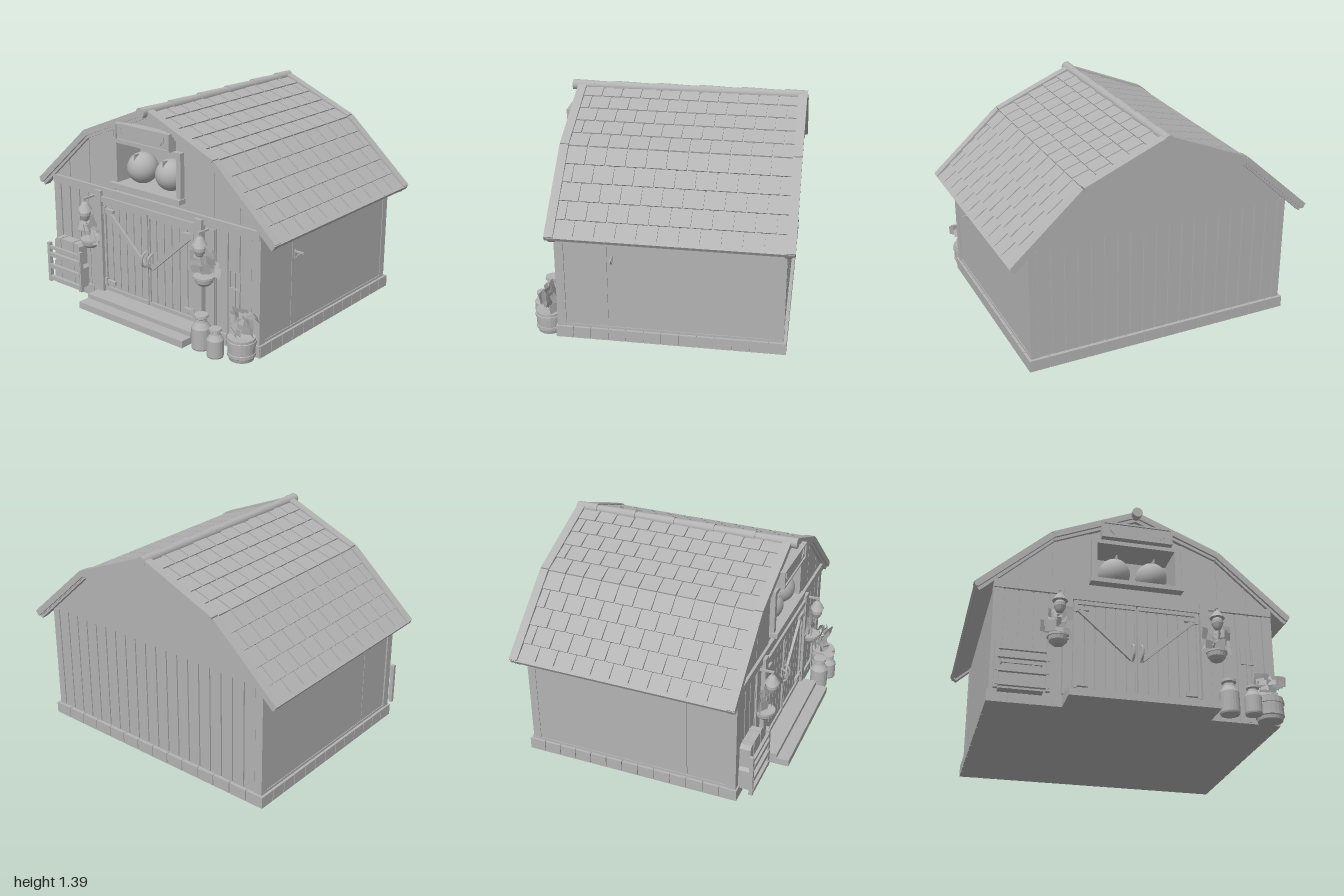
import * as THREE from 'three';

const grey = new THREE.MeshStandardMaterial({ color: 0xb3b3b3 });
grey.name = 'clay grey';
grey.side = THREE.DoubleSide;

function add(parent, name, geo, x = 0, y = 0, z = 0) {
  const m = new THREE.Mesh(geo, grey);
  m.name = name;
  m.position.set(x, y, z);
  parent.add(m);
  return m;
}
// box given by its limits
const box = (p, name, x0, x1, y0, y1, z0, z1) =>
  add(p, name, new THREE.BoxGeometry(Math.abs(x1 - x0), y1 - y0, z1 - z0), (x0 + x1) / 2, (y0 + y1) / 2, (z0 + z1) / 2);
// board running between two points in the xy plane
function beam(p, name, ax, ay, bx, by, w, z0, z1) {
  const m = add(p, name, new THREE.BoxGeometry(Math.hypot(bx - ax, by - ay), w, z1 - z0), (ax + bx) / 2, (ay + by) / 2, (z0 + z1) / 2);
  m.rotation.z = Math.atan2(by - ay, bx - ax);
  return m;
}
function lathe(p, name, pts, x, y, z, seg = 16) {
  let g = new THREE.LatheGeometry(pts.map(([r, h]) => new THREE.Vector2(r, h)), seg).toNonIndexed();
  g.computeVertexNormals();
  return add(p, name, g, x, y, z);
}
function extrude(p, name, pts, z0, z1, hole) {
  const s = new THREE.Shape(pts.map(([x, y]) => new THREE.Vector2(x, y)));
  if (hole) s.holes.push(new THREE.Path(hole.map(([x, y]) => new THREE.Vector2(x, y))));
  return add(p, name, new THREE.ExtrudeGeometry(s, { depth: z1 - z0, bevelEnabled: false }), 0, 0, z0);
}
let seed = 7;
const rnd = () => (seed = (seed * 16807) % 2147483647) / 2147483647;

// cluster of square leaf cards
function leaves(p, name, n, x, y, z, rx, ry, rz) {
  const g = new THREE.Group();
  g.name = name;
  for (let i = 0; i < n; i++) {
    const s = 0.035 + rnd() * 0.04;
    const m = add(g, 'leaf', new THREE.PlaneGeometry(s, s), x + (rnd() * 2 - 1) * rx, y + (rnd() * 2 - 1) * ry, z + (rnd() * 2 - 1) * rz);
    m.rotation.set((rnd() - 0.5) * 0.8, (rnd() - 0.5) * 1.2, 0);
  }
  p.add(g);
}

const APEX = [0, 1.36], KNEE = [0.53, 1.14], EAVE = [0.985, 0.735];
const wallTop = x => (x < 0.53 ? 1.325 - x * 0.415 : 1.105 - (x - 0.53) * 0.89);

function buildWalls(g) {
  const outline = [[-0.86, 0.06], [0.86, 0.06], [0.86, wallTop(0.86)], [0.53, 1.105], [0, 1.325], [-0.53, 1.105], [-0.86, wallTop(0.86)]];
  const hole = [[-0.25, 0.86], [-0.25, 1.12], [0.25, 1.12], [0.25, 0.86]];
  extrude(g, 'body', outline, -0.765, 0.42);
  extrude(g, 'frontWall', outline, 0.42, 0.6, hole);
  // foundation blocks
  box(g, 'foundationCore', -0.88, 0.88, 0, 0.07, -0.79, 0.615);
  const nz = 13, nx = 14;
  for (let i = 0; i < nz; i++) {
    const a = -0.8 + i * 1.425 / nz;
    for (const s of [-1, 1]) box(g, 'foundationBlock', s * 0.87, s * 0.89, 0, 0.075, a, a + 1.425 / nz - 0.005);
  }
  for (let i = 0; i < nx; i++) {
    const a = -0.89 + i * 1.78 / nx;
    for (const z of [-0.8, 0.605]) box(g, 'foundationBlock', a, a + 1.78 / nx - 0.005, 0, 0.075, z, z + 0.02);
  }
  for (const s of [-1, 1]) {
    box(g, 'frontCornerPost', s * 0.815, s * 0.877, 0.075, 0.79, 0.56, 0.615);
    box(g, 'backCornerPost', s * 0.82, s * 0.872, 0.075, 0.79, -0.782, -0.73);
    box(g, 'sidePanel', s * 0.855, s * 0.868, 0.09, 0.78, -0.73, 0.292);
    box(g, 'sidePanel', s * 0.855, s * 0.868, 0.09, 0.78, 0.296, 0.56);
    box(g, 'sideSill', s * 0.855, s * 0.873, 0.07, 0.09, -0.78, 0.6);
    // front planks beside the door
    for (let i = 0; i < 4; i++) box(g, 'frontPlank', s * (0.46 + i * 0.09), s * (0.54 + i * 0.09), 0.075, 0.74, 0.59, 0.61);
    // gable planks
    for (const [a, b] of [[0.3, 0.525], [0.53, 0.717], [0.723, 0.86]])
      extrude(g, 'gablePlank', [[s * a, 0.79], [s * b, 0.79], [s * b, wallTop(b)], [s * a, wallTop(a)]], 0.598, 0.607);
  }
  // back planks
  for (let i = 0; i < 19; i++) {
    const a = -0.82 + i * 1.64 / 19;
    box(g, 'backPlank', a + 0.004, a + 1.64 / 19 - 0.004, 0.075, 0.79, -0.778, -0.76);
  }
  extrude(g, 'backGable', [[-0.86, 0.79], [0.86, 0.79], [0.86, wallTop(0.86)], [0.53, 1.105], [0, 1.325], [-0.53, 1.105], [-0.86, wallTop(0.86)]], -0.778, -0.76);
  box(g, 'friezeBeam', -0.875, 0.875, 0.735, 0.79, 0.59, 0.625);
}

function buildRoof(g) {
  const z0 = -0.825, z1 = 0.64, ts = [[APEX, KNEE], [KNEE, EAVE]];
  for (const side of [0, Math.PI]) {
    const half = new THREE.Group();
    half.name = side ? 'rightRoof' : 'leftRoof';
    half.rotation.y = side;
    half.position.z = -0.095;
    g.add(half);
    ts.forEach(([a, b], k) => {
      const slope = new THREE.Group();
      const len = Math.hypot(b[0] - a[0], b[1] - a[1]), rows = 5, row = len / rows, w = 1.37 / 11;
      slope.name = k ? 'lowerSlope' : 'upperSlope';
      slope.position.set(a[0], a[1], 0);
      slope.rotation.z = Math.atan2(b[1] - a[1], b[0] - a[0]);
      half.add(slope);
      box(slope, 'roofDeck', 0, len, -0.03, -0.008, -0.72, 0.72);
      // staggered shingles, each row overlapping the next
      for (let r = 0; r < rows; r++)
        for (let i = 0; i <= 11; i++) {
          const lo = Math.max(-0.685, -0.685 + (i - (r % 2) / 2) * w), hi = Math.min(0.685, -0.685 + (i + 1 - (r % 2) / 2) * w);
          if (hi - lo < 0.02) continue;
          const t = box(slope, 'shingle', r * row, (r + 1) * row + 0.004, -0.011, 0.003, lo + 0.005, hi - 0.005);
          t.rotation.z = 0.07;
          t.rotation.z = -t.rotation.z * -1;
        }
    });
  }
  for (const s of [-1, 1]) {
    ts.forEach(([a, b]) => {
      beam(g, 'frontBargeboard', s * a[0], a[1] - 0.005, s * b[0], b[1] - 0.005, 0.04, 0.585, z1);
      beam(g, 'frontTrim', s * a[0], a[1] - 0.035, s * b[0] * 0.985, b[1] - 0.03, 0.025, 0.58, 0.625);
      beam(g, 'backBargeboard', s * a[0], a[1] - 0.005, s * b[0], b[1] - 0.005, 0.04, z0 - 0.005, -0.775);
      beam(g, 'backTrim', s * a[0], a[1] - 0.035, s * b[0] * 0.985, b[1] - 0.03, 0.025, -0.81, -0.77);
    });
    beam(g, 'eaveStrip', s * 0.965, 0.74, s * 0.99, 0.725, 0.025, z0, z1);
  }
  // ridge caps
  for (let i = 0; i < 11; i++) {
    const r = i % 2 ? 0.03 : 0.034;
    add(g, 'ridgeCap', new THREE.CylinderGeometry(r, r - 0.003, 0.145, 12), 0, 1.352, 0.605 - i * 0.1365).rotation.x = Math.PI / 2;
  }
}

function buildDoor(g) {
  for (const s of [-1, 1]) {
    box(g, 'doorPost', s * 0.4, s * 0.455, 0.075, 0.77, 0.6, 0.645);
    box(g, 'doorSidePost', s * 0.465, s * 0.535, 0.05, 0.72, 0.6, 0.62);
    for (let i = 0; i < 6; i++) box(g, 'doorPlank', s * (0.006 + i * 0.064), s * (0.064 + i * 0.064), 0.085, 0.7, 0.59, 0.618);
    box(g, 'doorTopRail', s * 0.005, s * 0.39, 0.675, 0.7, 0.6, 0.63);
    box(g, 'doorBottomRail', s * 0.005, s * 0.39, 0.085, 0.11, 0.6, 0.63);
    box(g, 'doorEdge', s * 0.375, s * 0.392, 0.085, 0.7, 0.6, 0.63);
    box(g, 'doorInnerEdge', s * 0.004, s * 0.014, 0.085, 0.7, 0.6, 0.628);
    beam(g, 'doorBrace', s * 0.375, 0.655, s * 0.03, 0.345, 0.03, 0.61, 0.635);
    for (const y of [0.15, 0.645]) {
      box(g, 'hinge', s * 0.3, s * 0.385, y - 0.012, y + 0.012, 0.618, 0.638);
      box(g, 'hingePlate', s * 0.37, s * 0.39, y - 0.025, y + 0.025, 0.618, 0.64);
    }
    const h = new THREE.CatmullRomCurve3([[0, 0.34, 0.62], [0, 0.36, 0.655], [0, 0.42, 0.655], [0, 0.44, 0.62]].map(p => new THREE.Vector3(...p)));
    add(g, 'doorHandle', new THREE.TubeGeometry(h, 8, 0.008, 6), s * 0.027, 0, 0);
    box(g, 'handlePlate', s * 0.018, s * 0.036, 0.335, 0.445, 0.615, 0.627);
  }
  box(g, 'doorLintel', -0.4, 0.4, 0.7, 0.735, 0.59, 0.64);
  box(g, 'lowerStep', -0.45, 0.45, 0, 0.045, 0.6, 0.82);
  box(g, 'upperStep', -0.45, 0.45, 0.045, 0.075, 0.6, 0.74);
}

function buildWindow(g) {
  for (const s of [-1, 1]) {
    box(g, 'windowJamb', s * 0.25, s * 0.285, 0.85, 1.145, 0.595, 0.635);
    add(g, 'roundSack', new THREE.SphereGeometry(0.1, 24, 16), s * 0.12, 0.96, 0.535);
    box(g, 'sackTie', s * 0.12 - 0.004, s * 0.12 + 0.004, 1.02, 1.06, 0.57, 0.612);
    for (let i = 0; i < 3; i++) beam(g, 'signMark', s * (0.15 + i * 0.012), 1.175 + i * 0.008, s * (0.17 + i * 0.004), 1.215 + i * 0.008, 0.005, 0.66, 0.668);
    box(g, 'signSide', s * 0.215, s * 0.228, 1.148, 1.257, 0.62, 0.672);
  }
  box(g, 'windowHead', -0.285, 0.285, 1.118, 1.145, 0.595, 0.635);
  box(g, 'windowSill', -0.295, 0.295, 0.83, 0.86, 0.595, 0.66);
  box(g, 'signBoard', -0.22, 0.22, 1.155, 1.25, 0.6, 0.662);
  box(g, 'signTop', -0.228, 0.228, 1.247, 1.258, 0.61, 0.672);
  box(g, 'signBottom', -0.228, 0.228, 1.147, 1.158, 0.61, 0.672);
}

function buildProps(g) {
  for (const s of [-1, 1]) {
    const x = s * 0.49;
    // lantern on a bracket
    lathe(g, 'lantern', [[0, 0.57], [0.02, 0.57], [0.026, 0.58], [0.036, 0.605], [0.036, 0.625], [0.026, 0.64], [0.047, 0.643], [0.022, 0.685], [0.012, 0.695], [0, 0.695]], x, 0, 0.7);
    box(g, 'lanternBracket', x - 0.006, x + 0.006, 0.71, 0.722, 0.6, 0.71);
    box(g, 'lanternHook', x - 0.004, x + 0.004, 0.69, 0.72, 0.696, 0.704);
    // wall basket
    lathe(g, 'hangingBasket', [[0, 0.37], [0.035, 0.375], [0.055, 0.395], [0.06, 0.42], [0.067, 0.42], [0.067, 0.433], [0, 0.433]], x, 0, 0.66);
    leaves(g, 'basketPlant', 26, x + s * 0.01, 0.51, 0.66, 0.075, 0.075, 0.028);
  }
  // milk cans
  for (const [x, z, r, h] of [[0.53, 0.735, 0.06, 0.22], [0.665, 0.765, 0.052, 0.18]])
    lathe(g, 'milkCan', [[0, 0], [r * 0.93, 0], [r, 0.01], [r, h * 0.62], [r * 0.6, h * 0.8], [r * 0.55, h * 0.88], [r * 0.75, h * 0.92], [r * 0.72, h], [0, h]], x, 0, z, 20);
  // planted tub
  lathe(g, 'tub', [[0, 0], [0.075, 0], [0.08, 0.02], [0.086, 0.025], [0.086, 0.045], [0.082, 0.047], [0.084, 0.1], [0.089, 0.102], [0.089, 0.122], [0.084, 0.124], [0.084, 0.14], [0, 0.135]], 0.8, 0, 0.685, 20);
  leaves(g, 'tubPlant', 28, 0.81, 0.215, 0.675, 0.07, 0.075, 0.04);
  // pitchfork
  box(g, 'forkHandle', 0.692, 0.704, 0.01, 0.39, 0.62, 0.632);
  box(g, 'forkBridge', 0.655, 0.742, 0.385, 0.397, 0.622, 0.632);
  for (const x of [0.66, 0.698, 0.737]) box(g, 'forkTine', x - 0.005, x + 0.005, 0.39, 0.5, 0.622, 0.63);
  // hay bales behind a rack
  for (const [x0, x1, y0, y1] of [[-0.83, -0.57, 0.06, 0.215], [-0.82, -0.58, 0.22, 0.37]]) {
    extrude(g, 'hayBale', [[x0, y0], [x1, y0], [x1, y1 - 0.02], [x1 - 0.02, y1], [x0 + 0.02, y1], [x0, y1 - 0.02]], 0.615, 0.685);
    for (const t of [0.25, 0.75]) box(g, 'baleString', x0 + (x1 - x0) * t - 0.004, x0 + (x1 - x0) * t + 0.004, y0, y1 + 0.004, 0.612, 0.689);
  }
  for (const x of [-0.85, -0.55]) box(g, 'rackPost', x - 0.012, x + 0.012, 0.05, 0.33, 0.693, 0.718);
  for (const y of [0.08, 0.165, 0.25]) box(g, 'rackRail', -0.855, -0.545, y - 0.014, y + 0.014, 0.7, 0.722);
  box(g, 'rackTopRail', -0.855, -0.545, 0.29, 0.31, 0.7, 0.718);
  // wall hook on the left side
  box(g, 'hookPlate', 0.865, 0.874, 0.52, 0.58, 0.259, 0.271);
  box(g, 'hookArm', 0.87, 0.932, 0.562, 0.572, 0.26, 0.27);
  beam(g, 'hookStrut', 0.87, 0.525, 0.91, 0.565, 0.007, 0.261, 0.269);
}

export function createModel() {
  const barn = new THREE.Group();
  barn.name = 'barn';
  for (const [name, build] of [['walls', buildWalls], ['roof', buildRoof], ['door', buildDoor], ['loftWindow', buildWindow], ['yardProps', buildProps]]) {
    const g = new THREE.Group();
    g.name = name;
    build(g);
    barn.add(g);
  }
  return barn;
}
